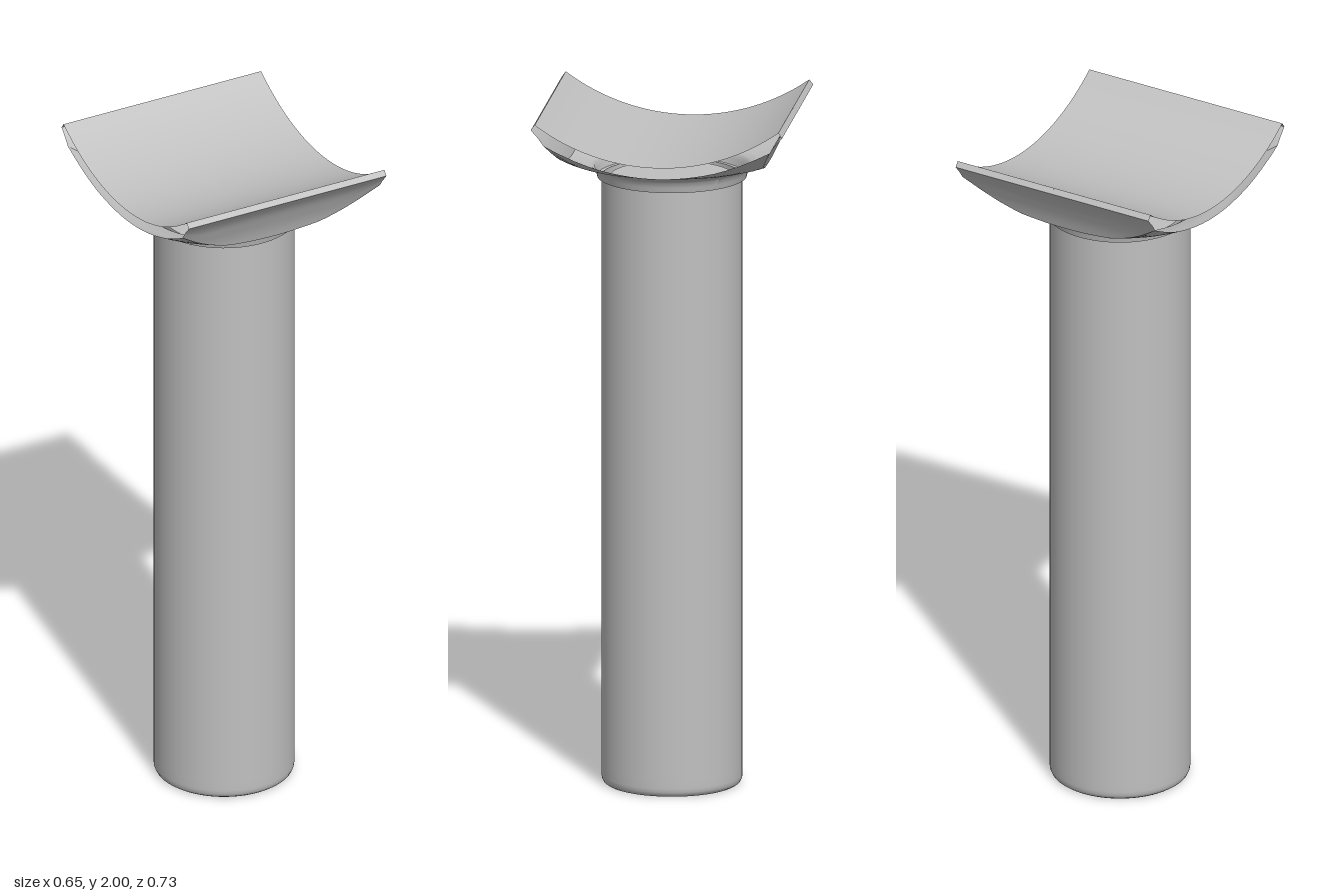
import * as THREE from 'three';

const HALF_X = 0.327;      // half width of the saddle
const TIP = [0.363, 1.985]; // outer lower edge of the saddle end (z, y)
const LIP = [0.352, 2.0];   // upper edge of the saddle end (z, y)
const ARC_R = 0.596, ARC_Y = 1.885 + ARC_R;

// Flare height by radius, and saddle end depth by height
const FLARE = [[0.214, 1.785], [0.222, 1.815], [0.24, 1.827], [0.285, 1.842],
  [0.327, 1.853], [0.37, 1.876], [0.41, 1.902], [0.46, 1.938]];
const END = [[1.842, 0.285], [1.865, 0.292], [1.89, 0.302], [1.937, 0.325], [1.96, 0.341], [1.985, 0.363]];

function lookup(table, v) {
  let i = 0;
  while (i < table.length - 2 && v > table[i + 1][0]) i++;
  const [a, b] = [table[i], table[i + 1]];
  return a[1] + (b[1] - a[1]) * (v - a[0]) / (b[0] - a[0]);
}
const flareY = (r) => lookup(FLARE, r);
const endZ = (y) => lookup(END, y);
const topY = (z) => ARC_Y - Math.sqrt(ARC_R * ARC_R - z * z);

// Smooth surface through columns of points; front side is column x next column
function grid(columns) {
  const n = columns[0].length, index = [];
  for (let j = 0; j < columns.length - 1; j++)
    for (let i = 0; i < n - 1; i++) {
      const a = j * n + i, b = a + n;
      index.push(a, a + 1, b, a + 1, b + 1, b);
    }
  const g = new THREE.BufferGeometry();
  g.setAttribute('position', new THREE.Float32BufferAttribute(columns.flat(2), 3));
  g.setIndex(index);
  g.computeVertexNormals();
  return g;
}

const steps = (a, b, n) => Array.from({ length: n + 1 }, (_, i) => a + (b - a) * i / n);

export function createModel() {
  const model = new THREE.Group();
  const grey = new THREE.MeshStandardMaterial({ color: 0xc0c0c0, side: THREE.DoubleSide });
  grey.name = 'light grey';
  const add = (name, geometry, parent) => {
    const mesh = new THREE.Mesh(geometry, grey);
    mesh.name = name;
    parent.add(mesh);
  };
  const lathe = (pts) => new THREE.LatheGeometry(pts.map((p) => new THREE.Vector2(...p)), 64);

  // Hollow post with a rounded foot
  const post = new THREE.Group();
  post.name = 'post';
  model.add(post);
  add('postOuter', lathe([[0.19, 0], [0.197, 0.005], [0.201, 0.014], [0.202, 0.025], [0.202, 0.05], [0.202, 1.785]]), post);
  add('postRim', lathe([[0.176, 0], [0.19, 0]]), post);
  add('postBore', lathe([[0.176, 1.785], [0.176, 0]]), post);
  add('boreCap', lathe([[0, 1.785], [0.176, 1.785]]), post);
  add('collarLedge', lathe([[0.202, 1.785], [0.214, 1.785]]), post);

  // Saddle on top
  const saddle = new THREE.Group();
  saddle.name = 'saddle';
  model.add(saddle);

  // Corner where the flare, the side and the end meet
  let zc = 0.32;
  for (let k = 0; k < 40; k++) zc = endZ(flareY(Math.hypot(HALF_X, zc)));
  const tc = Math.atan2(zc, HALF_X);
  const endRadius = (t) => {
    let r = 0.3;
    for (let k = 0; k < 40; k++) r = endZ(flareY(r)) / Math.abs(Math.sin(t));
    return r;
  };
  const sideRadius = (t) => HALF_X / Math.abs(Math.cos(t));

  const arcs = [
    [-tc, tc, sideRadius], [tc, Math.PI - tc, endRadius],
    [Math.PI - tc, Math.PI + tc, sideRadius], [Math.PI + tc, 2 * Math.PI - tc, endRadius],
  ];

  // Flare: turned profile trimmed to the saddle outline
  const flare = [];
  arcs.forEach(([a, b, radius], k) => steps(a, b, 20).forEach((t, i) => {
    if (k && !i) return;
    const max = radius(t);
    const radii = [0.214, 0.218, 0.222, 0.23, ...steps(0.24, max, 12)];
    flare.push(radii.map((r) => [r * Math.cos(t), flareY(r), r * Math.sin(t)]));
  }));
  add('flare', grid(flare), saddle);

  // Sloping ends and their narrow lips
  for (const [a, b, radius] of [arcs[1], arcs[3]]) {
    const s = Math.sign(Math.sin((a + b) / 2));
    add('saddleEnd', grid(steps(a, b, 24).map((t) => {
      const r = radius(t);
      return steps(flareY(r), TIP[1], 10).map((y) => [r * Math.cos(t), y, s * endZ(y)]);
    })), saddle);
    add('saddleLip', grid([s, -s].map((x) =>
      [TIP, LIP].map(([z, y]) => [x * HALF_X, y, s * z]))), saddle);
  }

  // Flat sides
  const outline = [
    ...steps(-zc, zc, 32).map((z) => [z, flareY(Math.hypot(HALF_X, z))]),
    [endZ(1.96), 1.96], TIP,
    ...steps(LIP[0], -LIP[0], 40).map((z) => [z, topY(z)]),
    [-TIP[0], TIP[1]], [-endZ(1.96), 1.96],
  ].map((p) => new THREE.Vector2(...p));
  for (const s of [1, -1])
    add('saddleSide', new THREE.ShapeGeometry(new THREE.Shape(outline)).rotateY(s * Math.PI / 2), saddle);

  // Curved seat
  add('saddleSeat', grid([-HALF_X, HALF_X].map((x) =>
    steps(-LIP[0], LIP[0], 40).map((z) => [x, topY(z), z]))), saddle);

  return model;
}
